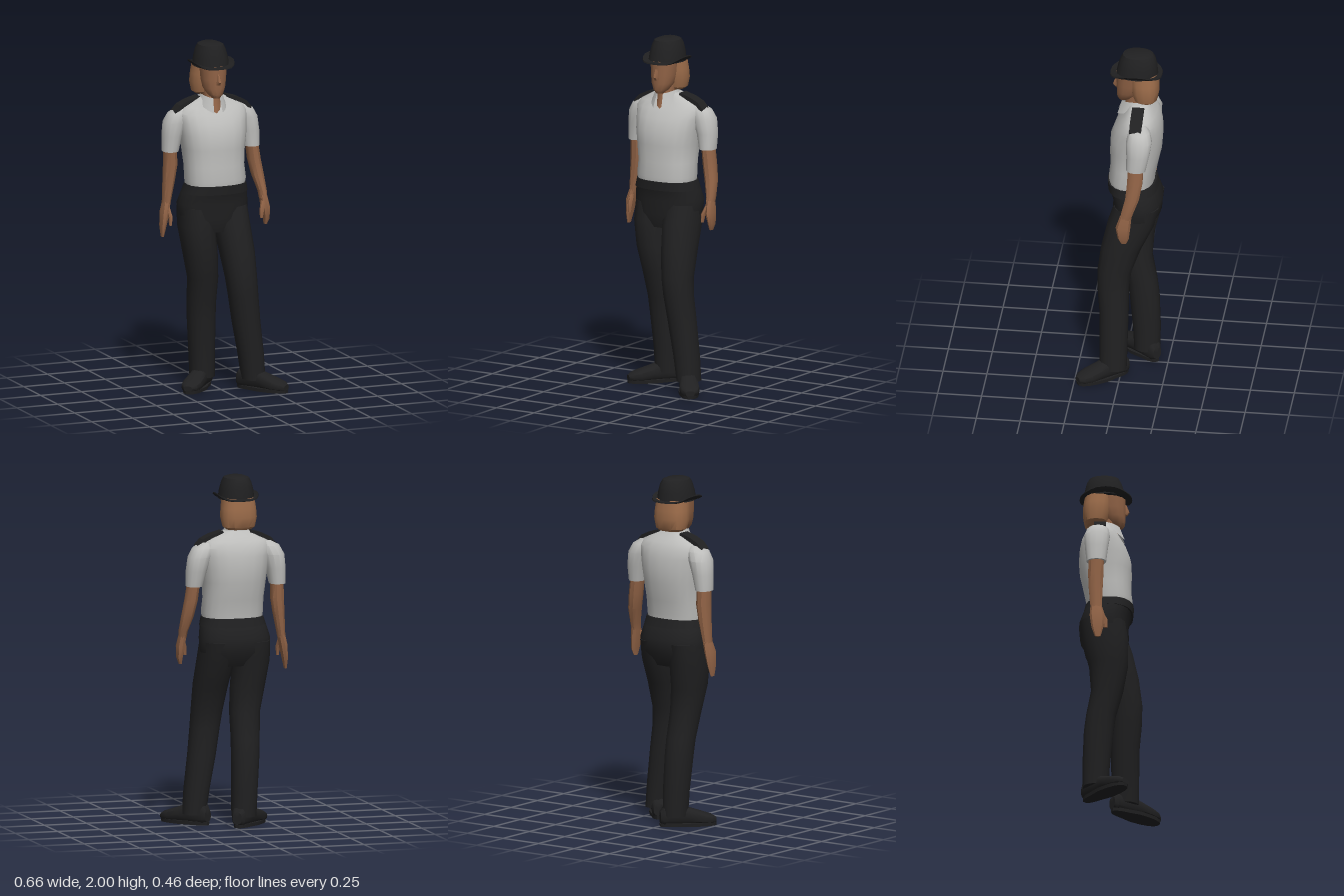
import * as THREE from 'three';
import { toCreasedNormals } from 'three/addons/utils/BufferGeometryUtils.js';

const paint = (name, color, side = THREE.FrontSide) => {
  const m = new THREE.MeshStandardMaterial({ color, side });
  m.name = name;
  return m;
};

// Closed skin through oval sections [y, x, z, halfWidth, halfDepth], lowest first
function loft(sections, { n = 14, power = 2.2, warp } = {}) {
  const pos = [], index = [];
  const bend = (v) => Math.sign(v) * Math.abs(v) ** (2 / power);
  const add = (x, y, z) => {
    const p = new THREE.Vector3(x, y, z);
    if (warp) warp(p);
    pos.push(p.x, p.y, p.z);
  };
  for (const [y, x, z, rx, rz] of sections) {
    for (let i = 0; i < n; i++) {
      const a = (i / n) * Math.PI * 2;
      add(x + rx * bend(Math.cos(a)), y, z + rz * bend(Math.sin(a)));
    }
  }
  for (let r = 0; r < sections.length - 1; r++) {
    for (let i = 0; i < n; i++) {
      const a = r * n + i, b = r * n + (i + 1) % n;
      index.push(a, a + n, b, b, a + n, b + n);
    }
  }
  const first = sections[0], last = sections[sections.length - 1];
  const low = pos.length / 3, high = low + 1, top = (sections.length - 1) * n;
  add(first[1], first[0], first[2]);
  add(last[1], last[0], last[2]);
  for (let i = 0; i < n; i++) {
    const j = (i + 1) % n;
    index.push(low, i, j, high, top + j, top + i);
  }
  const g = new THREE.BufferGeometry();
  g.setAttribute('position', new THREE.Float32BufferAttribute(pos, 3));
  g.setIndex(index);
  return toCreasedNormals(g, 0.65);
}

export function createModel() {
  const model = new THREE.Group();
  model.name = 'uniformedFigure';
  const shirt = paint('shirtGrey', 0xbdbdbb, THREE.DoubleSide);
  const black = paint('uniformBlack', 0x202021);
  const skin = paint('skin', 0x916346);
  const hair = paint('hair', 0x9c6c4a);
  const part = (name, geometry, material) => {
    const m = new THREE.Mesh(geometry, material);
    m.name = name;
    model.add(m);
    return m;
  };

  // Shirt body
  part('shirt', loft([
    [1.17, -0.018, -0.047, 0.168, 0.125], [1.22, -0.018, -0.045, 0.176, 0.131],
    [1.30, -0.02, -0.058, 0.172, 0.134], [1.40, -0.022, -0.067, 0.18, 0.147],
    [1.48, -0.022, -0.072, 0.192, 0.148], [1.55, -0.022, -0.083, 0.2, 0.133],
    [1.60, -0.022, -0.092, 0.205, 0.112], [1.635, -0.022, -0.095, 0.185, 0.09],
    [1.66, -0.024, -0.092, 0.135, 0.072], [1.69, -0.03, -0.085, 0.075, 0.055],
  ], { n: 20, power: 2.4 }), shirt);

  // Open collar with pointed front flaps
  const pos = [], index = [], steps = 16;
  for (let i = 0; i <= steps; i++) {
    const a = 0.32 + (i / steps) * (2 * Math.PI - 0.64);
    const s = Math.sin(a), c = Math.cos(a), f = Math.max(0, c) ** 2;
    pos.push(-0.032 + 0.062 * s, 1.705 - 0.015 * f, -0.07 + 0.064 * c + 0.022 * f);
    pos.push(-0.032 + 0.085 * s, 1.655 - 0.05 * f, -0.07 + 0.08 * c + 0.037 * f);
    if (i < steps) index.push(2 * i, 2 * i + 1, 2 * i + 2, 2 * i + 1, 2 * i + 3, 2 * i + 2);
  }
  const collar = new THREE.BufferGeometry();
  collar.setAttribute('position', new THREE.Float32BufferAttribute(pos, 3));
  collar.setIndex(index);
  collar.computeVertexNormals();
  part('collar', collar, shirt);

  // Shoulder straps bent over each shoulder
  for (const [name, s] of [['leftShoulderStrap', 1], ['rightShoulderStrap', -1]]) {
    const line = [[0.08, 1.692], [0.15, 1.672], [0.2, 1.648], [0.232, 1.612]];
    const under = line.map(([x, y]) => [x - 0.008, y - 0.022]).reverse();
    const shape = new THREE.Shape([...line, ...under].map(([x, y]) => new THREE.Vector2(-0.022 + s * x, y)));
    const g = new THREE.ExtrudeGeometry(shape, { depth: 0.068, bevelEnabled: false });
    part(name, g.translate(0, 0, s > 0 ? -0.122 : -0.133), black);
  }

  // Sleeves, arms and hands
  part('leftSleeve', loft([
    [1.38, 0.222, -0.095, 0.047, 0.056], [1.47, 0.212, -0.105, 0.058, 0.066],
    [1.55, 0.193, -0.108, 0.066, 0.074], [1.60, 0.17, -0.106, 0.062, 0.062],
    [1.63, 0.145, -0.1, 0.04, 0.04],
  ]), shirt);
  part('rightSleeve', loft([
    [1.38, -0.263, -0.118, 0.046, 0.056], [1.47, -0.253, -0.118, 0.056, 0.066],
    [1.55, -0.236, -0.115, 0.066, 0.074], [1.60, -0.214, -0.11, 0.062, 0.062],
    [1.63, -0.19, -0.105, 0.04, 0.04],
  ]), shirt);
  part('leftArm', loft([
    [1.08, 0.274, -0.04, 0.022, 0.032], [1.12, 0.272, -0.05, 0.025, 0.035],
    [1.21, 0.255, -0.078, 0.036, 0.041], [1.30, 0.238, -0.09, 0.038, 0.045],
    [1.42, 0.222, -0.095, 0.036, 0.045],
  ], { n: 10 }), skin);
  part('rightArm', loft([
    [1.07, -0.288, -0.118, 0.022, 0.032], [1.11, -0.283, -0.12, 0.025, 0.035],
    [1.21, -0.27, -0.122, 0.034, 0.041], [1.30, -0.261, -0.122, 0.04, 0.045],
    [1.42, -0.262, -0.118, 0.036, 0.045],
  ], { n: 10 }), skin);
  part('leftHand', loft([
    [0.93, 0.284, -0.032, 0.008, 0.016], [0.965, 0.288, -0.03, 0.016, 0.032],
    [1.03, 0.282, -0.028, 0.024, 0.042], [1.1, 0.273, -0.043, 0.022, 0.033],
  ], { n: 8 }), skin);
  part('rightHand', loft([
    [0.89, -0.314, -0.11, 0.007, 0.016], [0.95, -0.31, -0.112, 0.016, 0.034],
    [1.03, -0.299, -0.113, 0.024, 0.043], [1.09, -0.286, -0.119, 0.022, 0.033],
  ], { n: 8 }), skin);
  part('leftThumb', loft([
    [0.975, 0.246, 0.002, 0.008, 0.01], [1.02, 0.25, 0, 0.013, 0.015], [1.07, 0.266, -0.02, 0.012, 0.016],
  ], { n: 7 }), skin);
  part('rightThumb', loft([
    [0.96, -0.282, -0.066, 0.008, 0.01], [1.01, -0.28, -0.07, 0.012, 0.015], [1.06, -0.286, -0.098, 0.012, 0.016],
  ], { n: 7 }), skin);

  // Trousers: hips, waistband and two legs
  part('hips', loft([
    [0.92, -0.022, -0.062, 0.17, 0.1], [1.0, -0.022, -0.075, 0.2, 0.138],
    [1.08, -0.022, -0.08, 0.203, 0.14], [1.14, -0.02, -0.062, 0.19, 0.138],
    [1.185, -0.018, -0.047, 0.175, 0.136],
  ], { n: 20, power: 2.4 }), black);
  part('waistband', loft([
    [1.145, -0.019, -0.055, 0.19, 0.143], [1.195, -0.018, -0.047, 0.176, 0.139],
  ], { n: 20, power: 2.4 }), black);
  part('leftLeg', loft([
    [0.06, 0.18, 0.04, 0.066, 0.078], [0.2, 0.165, 0.04, 0.072, 0.08],
    [0.4, 0.135, 0.04, 0.08, 0.083], [0.55, 0.115, 0.047, 0.084, 0.09],
    [0.65, 0.105, 0.041, 0.088, 0.098], [0.8, 0.094, 0.004, 0.097, 0.116],
    [0.95, 0.08, -0.05, 0.102, 0.136], [1.06, 0.075, -0.08, 0.1, 0.13],
  ]), black);
  part('rightLeg', loft([
    [0.06, -0.064, -0.125, 0.07, 0.074], [0.2, -0.068, -0.122, 0.073, 0.079],
    [0.4, -0.077, -0.108, 0.079, 0.085], [0.5, -0.081, -0.095, 0.081, 0.085],
    [0.65, -0.088, -0.06, 0.086, 0.092], [0.8, -0.108, -0.052, 0.096, 0.112],
    [0.95, -0.124, -0.07, 0.1, 0.132], [1.06, -0.122, -0.085, 0.1, 0.13],
  ]), black);

  // Shoes, lofted from heel to toe and turned outward
  const shoeGeometry = loft([
    [-0.06, 0, -0.055, 0.028, 0.035], [-0.04, 0, -0.062, 0.042, 0.056],
    [0.06, 0, -0.064, 0.046, 0.058], [0.12, 0, -0.054, 0.054, 0.046],
    [0.19, 0, -0.042, 0.058, 0.035], [0.235, 0, -0.035, 0.048, 0.027],
    [0.26, 0, -0.03, 0.025, 0.016],
  ], { power: 2.6 }).rotateX(Math.PI / 2);
  const soleGeometry = loft([
    [0.008, 0, 0.1, 0.056, 0.162], [0.028, 0, 0.1, 0.058, 0.164],
  ], { n: 18, power: 2.5, warp: (p) => { if (p.z < 0.06) p.x *= 0.8; p.y = Math.max(0, p.y - 0.008); } });
  for (const [side, x, z, turn] of [['left', 0.155, 0.015, 0.62], ['right', -0.045, -0.145, -0.75]]) {
    for (const [name, g] of [['Shoe', shoeGeometry], ['Sole', soleGeometry]]) {
      const m = part(side + name, g, black);
      m.position.set(x, 0, z);
      m.rotation.y = turn;
    }
  }

  // Neck, face and nose
  part('neck', loft([
    [1.60, -0.032, -0.04, 0.045, 0.058], [1.65, -0.032, -0.055, 0.047, 0.058],
    [1.70, -0.033, -0.062, 0.048, 0.054], [1.77, -0.033, -0.07, 0.05, 0.055],
  ], { n: 12 }), skin);
  part('face', loft([
    [1.692, -0.034, 0.008, 0.02, 0.022], [1.712, -0.034, -0.006, 0.042, 0.048],
    [1.75, -0.034, -0.028, 0.062, 0.073], [1.80, -0.034, -0.042, 0.072, 0.088],
    [1.88, -0.034, -0.052, 0.078, 0.098],
  ]), skin);
  part('nose', loft([
    [1.772, -0.034, 0.044, 0.013, 0.01], [1.79, -0.034, 0.05, 0.013, 0.018],
    [1.835, -0.034, 0.04, 0.008, 0.01],
  ], { n: 6 }), skin);

  // Bobbed hair
  part('hair', loft([
    [1.70, -0.034, -0.125, 0.07, 0.05], [1.715, -0.034, -0.122, 0.092, 0.067],
    [1.77, -0.034, -0.118, 0.104, 0.08], [1.82, -0.034, -0.115, 0.1, 0.081],
    [1.88, -0.034, -0.108, 0.092, 0.08],
  ], { n: 16, power: 2.5 }), hair);

  // Hat: tapered crown and a brim curled up at the sides
  part('hatCrown', loft([
    [1.868, -0.034, -0.072, 0.1, 0.12], [1.92, -0.034, -0.075, 0.094, 0.112],
    [1.965, -0.034, -0.077, 0.082, 0.1], [1.99, -0.034, -0.076, 0.07, 0.086],
    [2.0, -0.034, -0.078, 0.045, 0.06],
  ], { n: 16 }), black);
  const curl = (p) => { p.y += 0.032 * Math.min(1, Math.abs(p.x + 0.033) / 0.122) ** 5; };
  part('hatBrim', loft([
    [1.862, -0.033, -0.067, 0.085, 0.105], [1.864, -0.033, -0.067, 0.108, 0.13],
    [1.868, -0.033, -0.067, 0.122, 0.149], [1.875, -0.033, -0.067, 0.121, 0.147],
    [1.876, -0.033, -0.067, 0.106, 0.128], [1.878, -0.033, -0.067, 0.085, 0.105],
  ], { n: 24, power: 2.5, warp: curl }), black);

  return model;
}
